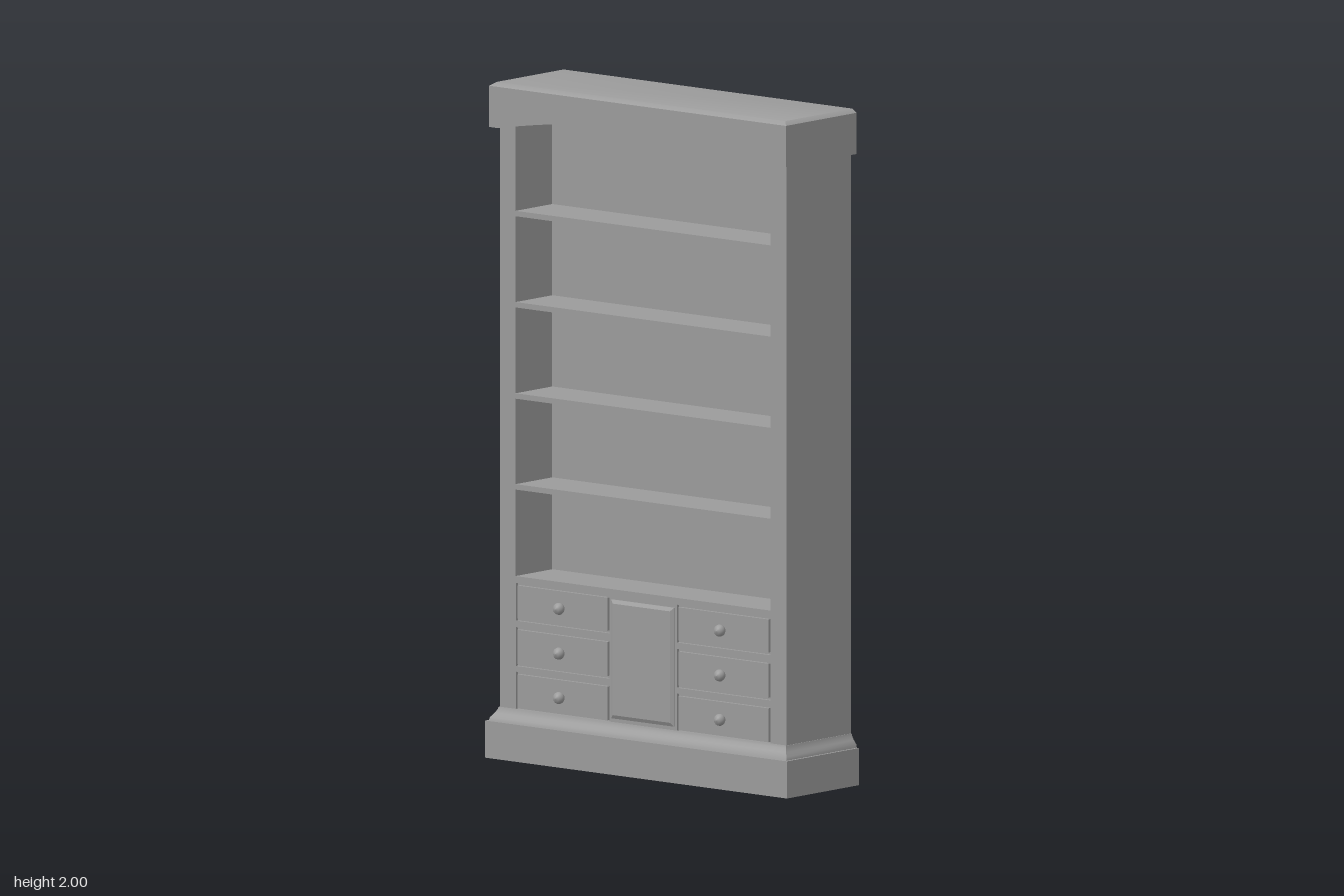
import * as THREE from 'three';
import { toCreasedNormals } from 'three/addons/utils/BufferGeometryUtils.js';

const BACK = -0.162, FRONT = 0.13;
const material = new THREE.MeshStandardMaterial({ color: 0x9b9b9b });

function add(parent, name, geometry) {
  const mesh = new THREE.Mesh(geometry, material);
  mesh.name = name;
  parent.add(mesh);
  return mesh;
}

// Box given by its limits on each axis
function box(parent, name, x0, x1, y0, y1, z0, z1) {
  const mesh = add(parent, name, new THREE.BoxGeometry(x1 - x0, y1 - y0, z1 - z0));
  mesh.position.set((x0 + x1) / 2, (y0 + y1) / 2, (z0 + z1) / 2);
}

// Stacked rectangles [y, half width, front z], all sharing a flat back
function stack(parent, name, sections) {
  const pos = [], idx = [], n = sections.length;
  for (const [y, w, z] of sections) pos.push(-w, y, z, w, y, z, w, y, BACK, -w, y, BACK);
  for (let i = 0; i < n - 1; i++) {
    for (let k = 0; k < 4; k++) {
      const a = i * 4 + k, b = i * 4 + (k + 1) % 4;
      idx.push(a, b, b + 4, a, b + 4, a + 4);
    }
  }
  const t = (n - 1) * 4;
  idx.push(0, 2, 1, 0, 3, 2, t, t + 1, t + 2, t, t + 2, t + 3);
  const geometry = new THREE.BufferGeometry();
  geometry.setAttribute('position', new THREE.Float32BufferAttribute(pos, 3));
  geometry.setIndex(idx);
  add(parent, name, toCreasedNormals(geometry, 0.7));
}

function rect(Type, x0, x1, y0, y1) {
  return new Type([[x0, y0], [x1, y0], [x1, y1], [x0, y1]].map(([x, y]) => new THREE.Vector2(x, y)));
}

export function createModel() {
  const model = new THREE.Group();
  model.name = 'bookcase';

  // Plinth and its moulding
  stack(model, 'plinth', [[0, 0.58, 0.162], [0.11, 0.58, 0.162]]);
  stack(model, 'baseMoulding', [
    [0.11, 0.572, 0.155], [0.12, 0.57, 0.152], [0.132, 0.56, 0.143], [0.143, 0.554, 0.136], [0.15, 0.552, 0.134]]);

  // Carcass: sides, back and shelves
  box(model, 'leftSide', 0.49, 0.55, 0.15, 1.94, BACK, FRONT);
  box(model, 'rightSide', -0.55, -0.49, 0.15, 1.94, BACK, FRONT);
  box(model, 'backPanel', -0.49, 0.49, 0.54, 1.94, BACK, -0.035);
  for (const y of [0.807, 1.076, 1.346, 1.616]) {
    box(model, 'shelf', -0.49, 0.49, y - 0.008, y + 0.008, -0.035, FRONT);
  }

  // Drawer cabinet with a front frame pierced for the drawers
  box(model, 'cabinetBody', -0.49, 0.49, 0.15, 0.543, BACK, 0.12);
  const rows = [[0.146, 0.26], [0.277, 0.392], [0.411, 0.523]];
  const frame = rect(THREE.Shape, -0.49, 0.49, 0.14, 0.543);
  for (const [y0, y1] of rows) {
    frame.holes.push(rect(THREE.Path, -0.489, -0.13, y0, y1), rect(THREE.Path, 0.13, 0.489, y0, y1));
  }
  const frameGeometry = new THREE.ExtrudeGeometry(frame, { depth: 0.01, bevelEnabled: false });
  add(model, 'cabinetFrame', frameGeometry).position.z = 0.12;

  // Drawers with round knobs
  const knobProfile = [[0, 0], [0.008, 0], [0.008, 0.006], [0.014, 0.008], [0.017, 0.013], [0.018, 0.018], [0.016, 0.025], [0.01, 0.031], [0, 0.034]]
    .map(([r, h]) => new THREE.Vector2(r, h));
  const knobGeometry = new THREE.LatheGeometry(knobProfile, 20).rotateX(Math.PI / 2);
  for (const s of [-1, 1]) {
    for (const [y0, y1] of rows) {
      const drawer = new THREE.Group();
      drawer.name = 'drawer';
      const cx = s * 0.309;
      box(drawer, 'drawerFront', cx - 0.173, cx + 0.173, y0 + 0.007, y1 - 0.007, 0.115, FRONT + 0.001);
      add(drawer, 'knob', knobGeometry).position.set(cx, (y0 + y1) / 2, FRONT);
      model.add(drawer);
    }
  }

  // Raised centre door with chamfered edges
  const doorGeometry = new THREE.ExtrudeGeometry(rect(THREE.Shape, -0.11, 0.11, 0.172, 0.502),
    { depth: 0.01, bevelSize: 0.011, bevelThickness: 0.006, bevelSegments: 1 });
  add(model, 'centreDoor', doorGeometry).position.z = 0.122;

  // Cornice: cap, side returns and arched fascia
  stack(model, 'corniceCap', [[1.925, 0.57, 0.155], [1.989, 0.57, 0.155], [2, 0.555, 0.14]]);
  box(model, 'leftCorniceReturn', 0.55, 0.57, 1.867, 1.925, BACK, FRONT);
  box(model, 'rightCorniceReturn', -0.57, -0.55, 1.867, 1.925, BACK, FRONT);
  const arch = new THREE.Shape();
  arch.moveTo(-0.57, 1.867);
  arch.lineTo(-0.54, 1.867);
  arch.bezierCurveTo(-0.32, 1.905, -0.18, 1.922, 0, 1.922);
  arch.bezierCurveTo(0.18, 1.922, 0.32, 1.905, 0.54, 1.867);
  arch.lineTo(0.57, 1.867);
  arch.lineTo(0.57, 1.925);
  arch.lineTo(-0.57, 1.925);
  const archGeometry = new THREE.ExtrudeGeometry(arch, { depth: 0.025, bevelEnabled: false });
  add(model, 'archedFascia', archGeometry).position.z = FRONT;

  return model;
}
